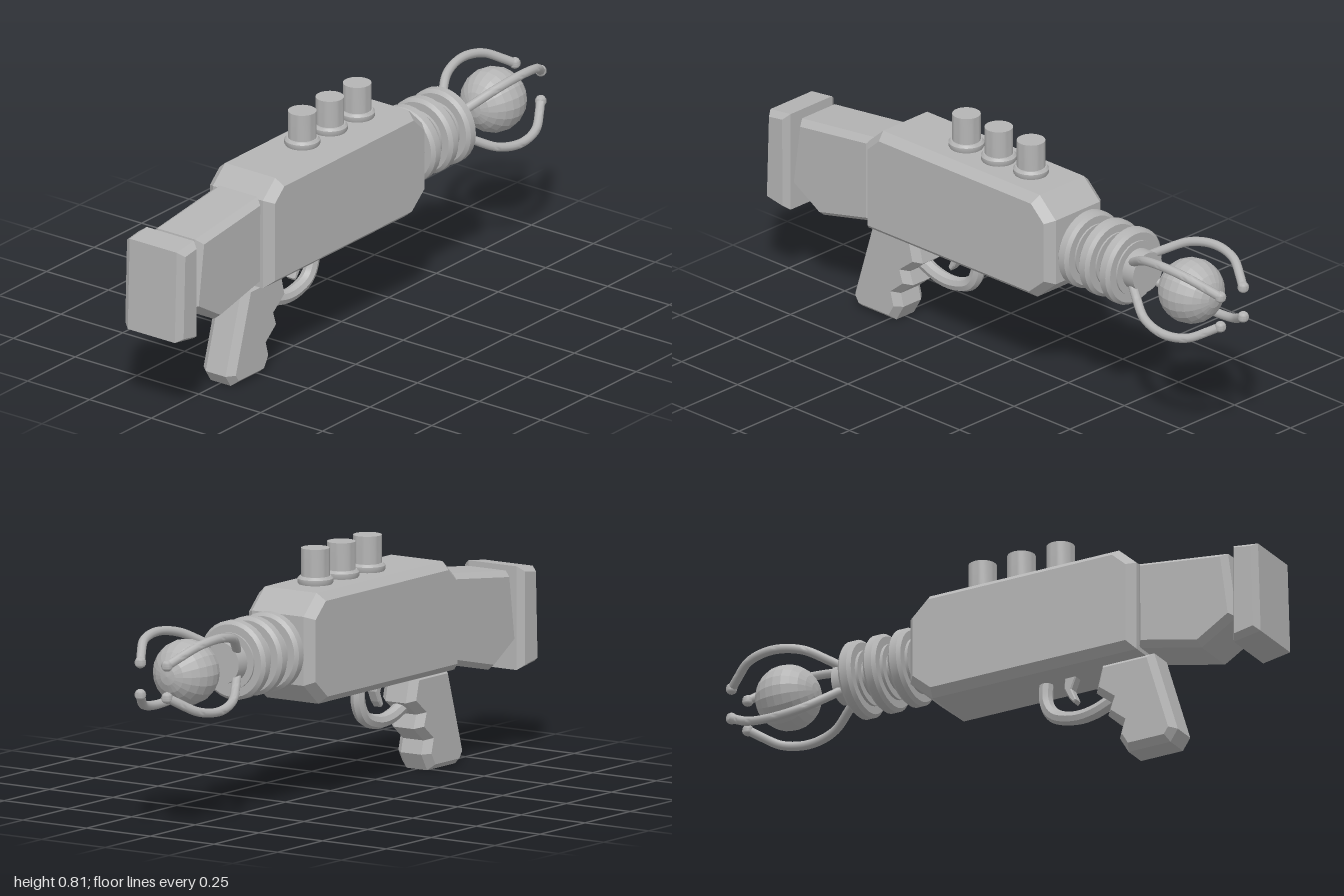
import * as THREE from 'three';
import { toCreasedNormals } from 'three/addons/utils/BufferGeometryUtils.js';

const AXIS_Y = 0.505; // height of the barrel axis

export function createModel() {
  const model = new THREE.Group();
  model.name = 'rayBlaster';
  const grey = new THREE.MeshStandardMaterial({ color: 0xb4b4b4 });
  grey.name = 'plain grey';

  const add = (name, geometry, crease = 0.6) => {
    const mesh = new THREE.Mesh(toCreasedNormals(geometry, crease), grey);
    mesh.name = name;
    model.add(mesh);
    return mesh;
  };

  // Side profile of [z, y] points, extruded across x with chamfered rims
  const slab = (name, points, halfWidth, bevel, chamfer = bevel) => {
    const shape = new THREE.Shape(points.map(([z, y]) => new THREE.Vector2(z, y)));
    const depth = 2 * (halfWidth - chamfer);
    const g = new THREE.ExtrudeGeometry(shape, {
      depth, bevelEnabled: true, bevelSegments: 1,
      bevelSize: bevel, bevelOffset: -bevel, bevelThickness: chamfer,
    });
    g.translate(0, 0, -depth / 2).rotateY(-Math.PI / 2);
    return add(name, g, 0.1);
  };

  // Turned part from [radius, height] points
  const turned = (points, sides = 32) =>
    new THREE.LatheGeometry(points.map(([r, h]) => new THREE.Vector2(r, h)), sides);

  const tube = (points, radius, sides) => new THREE.TubeGeometry(
    new THREE.CatmullRomCurve3(points.map((p) => new THREE.Vector3(...p))), 32, radius, sides);

  // Body and shoulder stock
  slab('body', [[0.545, 0.325], [0.545, 0.63], [0.48, 0.688], [-0.22, 0.688],
    [-0.292, 0.62], [-0.292, 0.395], [-0.21, 0.325]], 0.131, 0.025, 0.03);
  slab('stock', [[0.54, 0.34], [0.77, 0.288], [0.9, 0.366], [0.868, 0.597], [0.54, 0.636]],
    0.1, 0.018, 0.025);
  slab('buttPlate', [[0.9, 0.27], [1.0, 0.286], [0.99, 0.597], [0.9, 0.608]],
    0.118, 0.016, 0.023);

  // Grip with finger grooves
  slab('grip', [[0.575, 0.327], [0.385, 0.327], [0.362, 0.235], [0.42, 0.19], [0.405, 0.145],
    [0.46, 0.1], [0.448, 0.055], [0.48, 0], [0.635, 0], [0.662, 0.04]], 0.065, 0.02, 0.025);

  // Trigger and its guard
  slab('trigger', [[0.275, 0.335], [0.23, 0.335], [0.228, 0.29], [0.245, 0.255], [0.262, 0.235],
    [0.272, 0.245], [0.255, 0.285]], 0.018, 0.004);
  add('triggerGuard', tube([[0, 0.35, 0.155], [0, 0.26, 0.155], [0, 0.212, 0.185],
    [0, 0.187, 0.26], [0, 0.192, 0.33], [0, 0.222, 0.41]], 0.024, 8), 0.5);

  // Three knobs on the top
  for (const z of [0.206, 0.061, -0.083]) {
    add('knob', turned([[0, 0.68], [0.05, 0.68], [0.058, 0.694], [0.058, 0.706], [0.051, 0.714],
      [0.046, 0.714], [0.046, 0.805], [0, 0.805]])).position.z = z;
  }

  // Barrel with cooling fins
  add('barrel', turned([[0, 0.27], [0.068, 0.27], [0.068, 0.605], [0, 0.605]])
    .rotateX(-Math.PI / 2)).position.y = AXIS_Y;
  for (const z of [-0.343, -0.435, -0.527]) {
    add('coolingFin', turned([[0, -0.034], [0.092, -0.034], [0.092, -0.024], [0.118, -0.024],
      [0.129, -0.013], [0.129, 0.013], [0.118, 0.024], [0.092, 0.024], [0.092, 0.03], [0, 0.03]])
      .rotateX(-Math.PI / 2)).position.set(0, AXIS_Y, z);
  }

  // Energy orb held by four bent prongs
  add('orb', new THREE.SphereGeometry(0.108, 20, 12).rotateX(Math.PI / 2), 0.1)
    .position.set(0, AXIS_Y, -0.8);
  const bend = [[0.06, -0.58], [0.09, -0.615], [0.145, -0.69], [0.168, -0.79],
    [0.15, -0.885], [0.105, -0.945], [0.074, -0.98]];
  for (let i = 0; i < 4; i++) {
    const angle = Math.PI / 4 + i * Math.PI / 2;
    const at = ([r, z]) => [r * Math.cos(angle), AXIS_Y + r * Math.sin(angle), z];
    add('prong', tube(bend.map(at), 0.015, 10), 0.8);
    add('prongTip', new THREE.SphereGeometry(0.019, 10, 8), 0.9)
      .position.set(...at([0.074, -0.981]));
  }
  return model;
}
